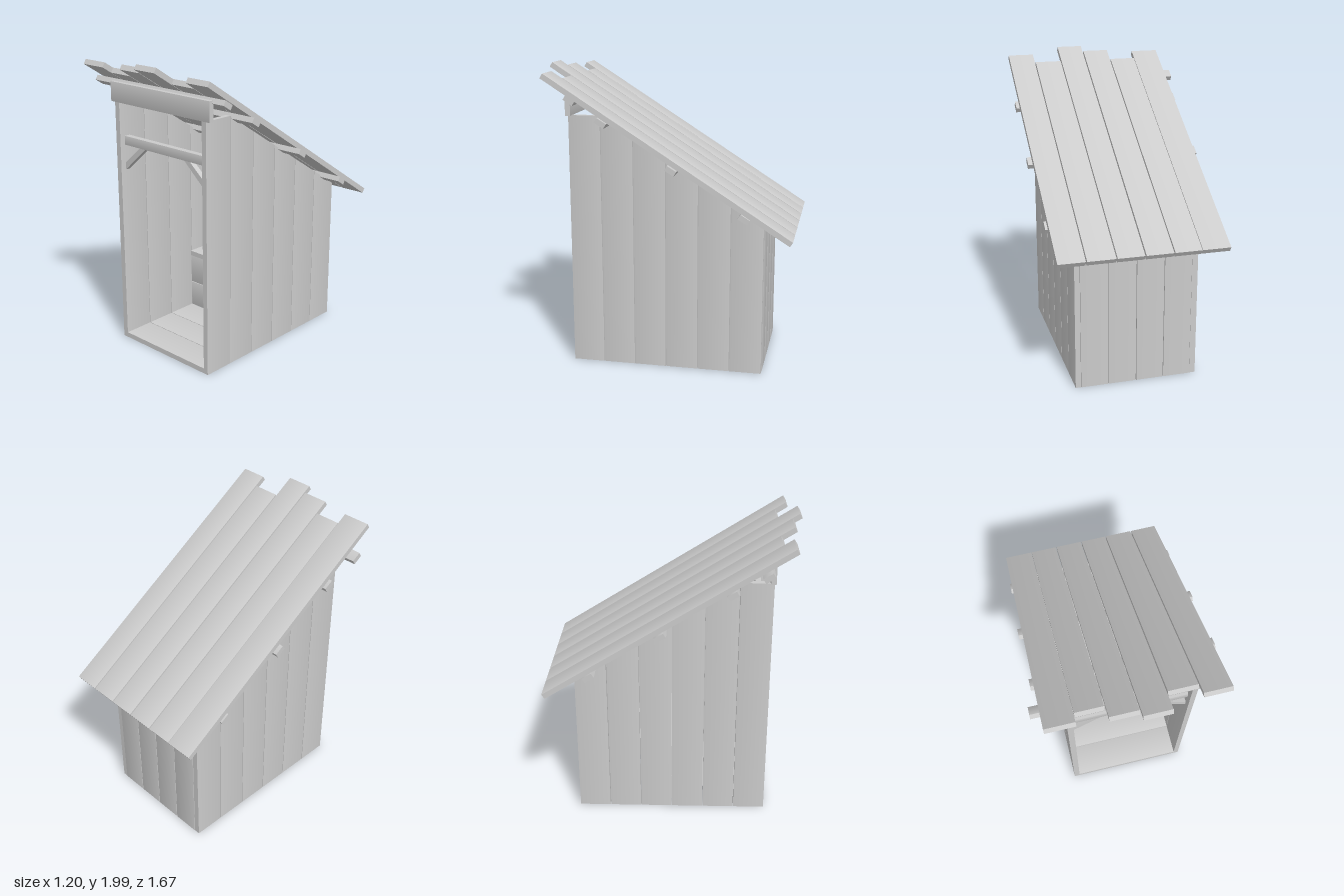
import * as THREE from 'three';

const material = new THREE.MeshStandardMaterial({ color: 0xcccccc });
const MID = 0.012;                       // middle of the cabin in x
const IN_L = -0.358, IN_R = 0.387;       // inner faces of the side walls
const T = 0.035;                         // board thickness
const PITCH = Math.atan(0.633);
const roofTop = (z) => 1.48 + 0.633 * z;

// Box whose broad faces have slightly cupped normals across the width
function boardGeometry(w, h, d) {
  const g = new THREE.BoxGeometry(w, h, d);
  const size = [w, h, d];
  const [thin, wide] = [0, 1, 2].sort((a, b) => size[a] - size[b]);
  const p = g.attributes.position, n = g.attributes.normal;
  for (let i = 0; i < p.count; i++) {
    if (Math.abs(n.getComponent(i, thin)) < 0.5) continue;
    n.setComponent(i, wide, 0.2 * Math.sign(p.getComponent(i, wide)));
  }
  g.normalizeNormals();
  return g;
}

// Board given by its limits on each axis
function board(name, [x0, x1], [y0, y1], [z0, z1]) {
  const mesh = new THREE.Mesh(boardGeometry(x1 - x0, y1 - y0, z1 - z0), material);
  mesh.position.set((x0 + x1) / 2, (y0 + y1) / 2, (z0 + z1) / 2);
  mesh.name = name;
  return mesh;
}

function group(name, parent) {
  const g = new THREE.Group();
  g.name = name;
  parent.add(g);
  return g;
}

// Six upright planks with tops cut to the roof slope; the front one is level
function addSideWall(parent, name, x0, x1) {
  const wall = group(name, parent);
  const step = 1.28 / 6, gap = 0.002;
  for (let i = 0; i < 6; i++) {
    const zFront = 0.64 - i * step - gap, zBack = 0.64 - (i + 1) * step + gap;
    const plank = board('wallPlank', [x0, x1], [0, 1.68], [zBack, zFront]);
    const p = plank.geometry.attributes.position;
    for (let v = 0; v < p.count; v++) {
      if (p.getY(v) < 0) continue;
      const z = p.getZ(v) + plank.position.z;
      p.setY(v, Math.min(1.68, 1.41 + 0.63 * z) - 0.84);
    }
    wall.add(plank);
  }
}

// Row of equal boards laid along z
function addRow(parent, name, count, zStart, zEnd, y0, y1) {
  const step = (zEnd - zStart) / count;
  for (let i = 0; i < count; i++) {
    const z = zStart + i * step;
    parent.add(board(name, [IN_L, IN_R], [y0, y1], [z + 0.002, z + step - 0.002]));
  }
}

export function createModel() {
  const model = new THREE.Group();
  model.name = 'outhouse';

  // Walls
  addSideWall(model, 'rightWall', -0.397, IN_L);
  addSideWall(model, 'leftWall', IN_R, 0.422);
  const back = group('backWall', model);
  const step = (IN_R - IN_L) / 4;
  for (let i = 0; i < 4; i++) {
    const x = IN_L + i * step;
    back.add(board('backPlank', [x + 0.002, x + step - 0.002], [0, 1.005], [-0.64, -0.605]));
  }

  // Floor in front of the bench; the space under the bench is open below
  addRow(group('floor', model), 'floorBoard', 3, 0, 0.64, 0, T);

  // Bench
  const bench = group('bench', model);
  bench.add(board('benchFrontLower', [IN_L, IN_R], [T, 0.217], [-0.035, 0]));
  bench.add(board('benchFrontUpper', [IN_L, IN_R], [0.221, 0.43], [-0.035, 0]));
  addRow(bench, 'seatBoard', 3, -0.605, 0.01, 0.43, 0.465);

  // Door frame: lintel, crossbar and two corner braces
  const frame = group('doorFrame', model);
  frame.add(board('lintel', [-0.425, 0.46], [1.68, 1.81], [0.612, 0.646]));
  frame.add(board('crossbar', [IN_L, IN_R], [1.39, 1.45], [0.56, 0.6]));
  for (const side of [-1, 1]) {
    const half = (IN_R - IN_L) / 2;
    const corners = [[half, 1.22], [half, 1.27], [half - 0.15, 1.395], [half - 0.2, 1.395]];
    const shape = new THREE.Shape(corners.map(([x, y]) => new THREE.Vector2(side * x, y)));
    const brace = new THREE.Mesh(
      new THREE.ExtrudeGeometry(shape, { depth: T, bevelEnabled: false }), material);
    brace.position.set((IN_L + IN_R) / 2, 0, 0.563);
    brace.name = side < 0 ? 'rightBrace' : 'leftBrace';
    frame.add(brace);
  }

  // Roof planks: x limits and the z of the uneven front end
  const roof = group('roof', model);
  const planks = [
    [-0.54, -0.353, 0.765], [-0.35, -0.173, 0.7], [-0.166, 0.012, 0.785],
    [0.02, 0.195, 0.832], [0.202, 0.385, 0.7], [0.392, 0.567, 0.77],
  ];
  const sin = Math.sin(PITCH), cos = Math.cos(PITCH);
  for (const [x0, x1, front] of planks) {
    const zTop = front - T * sin, zLow = -0.834;
    const mid = (zTop + zLow) / 2;
    const plank = new THREE.Mesh(boardGeometry(x1 - x0, T, (zTop - zLow) / cos), material);
    plank.position.set((x0 + x1) / 2, roofTop(mid) - cos * T / 2, mid + sin * T / 2);
    plank.rotation.x = -PITCH;
    plank.name = 'roofPlank';
    roof.add(plank);
  }

  // Battens under the roof: x limits and z
  const battens = [
    [-0.6, 0.555, 0.588], [-0.562, 0.59, 0.378], [-0.567, 0.597, -0.068], [-0.553, 0.583, -0.528],
  ];
  for (const [x0, x1, z] of battens) {
    const batten = new THREE.Mesh(boardGeometry(x1 - x0, T, 0.07), material);
    batten.position.set((x0 + x1) / 2, roofTop(z) - 1.5 * T / cos, z);
    batten.rotation.x = -PITCH;
    batten.name = 'roofBatten';
    roof.add(batten);
  }

  return model;
}
